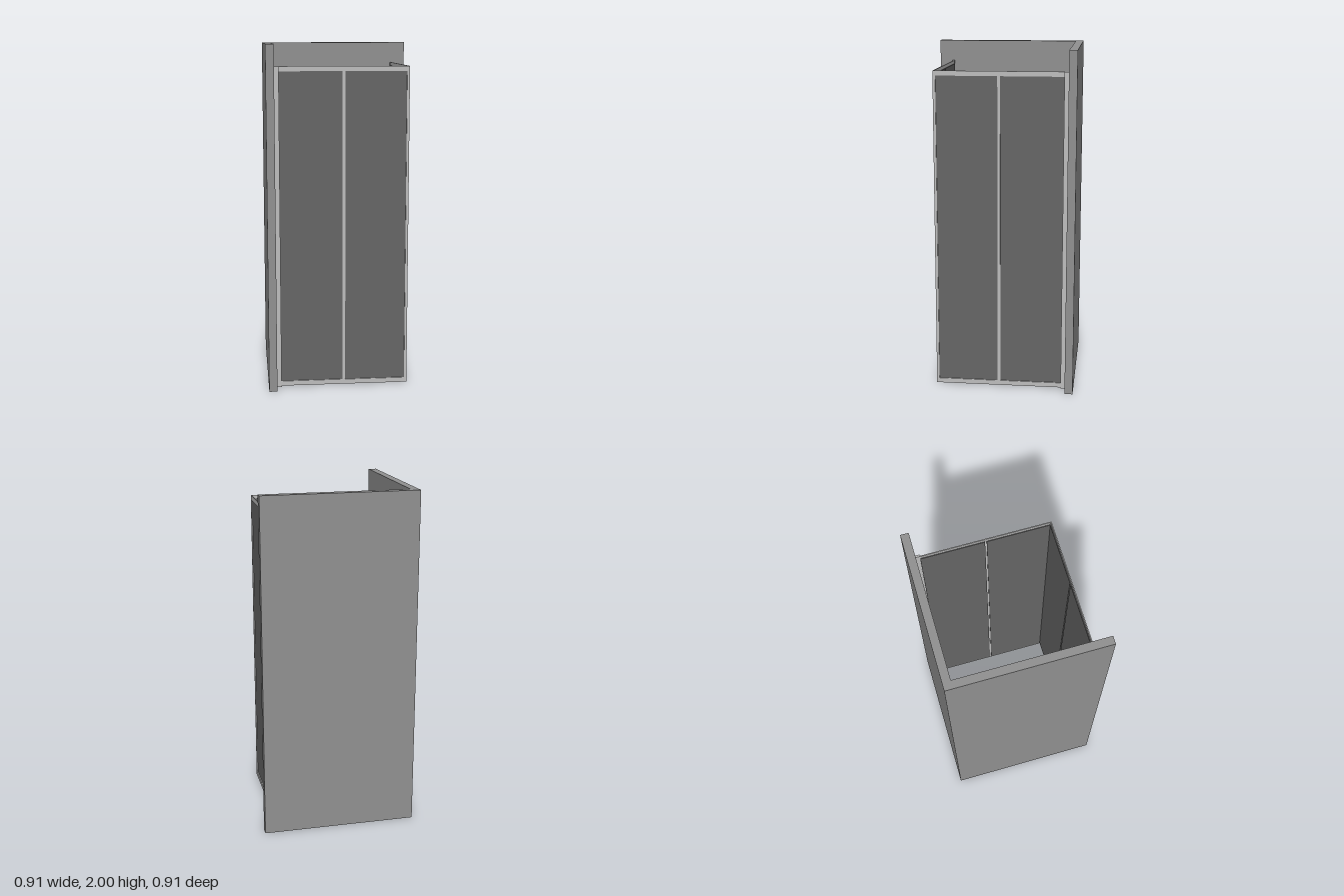
import * as THREE from 'three';

export function createModel() {
  const model = new THREE.Group();
  model.name = 'showerEnclosure';

  const mat = (name, color) => {
    const m = new THREE.MeshStandardMaterial({ color });
    m.name = name;
    return m;
  };
  const wall = mat('wall grey', 0x919191);
  const frame = mat('frame light grey', 0xbebebe);
  const glass = mat('glass dark grey', 0x666666);

  // Box given by its min and max along each axis
  const box = (parent, name, material, [x0, x1], [y0, y1], [z0, z1]) => {
    const mesh = new THREE.Mesh(new THREE.BoxGeometry(x1 - x0, y1 - y0, z1 - z0), material);
    mesh.position.set((x0 + x1) / 2, (y0 + y1) / 2, (z0 + z1) / 2);
    mesh.name = name;
    parent.add(mesh);
  };

  // Two solid walls meeting at the back corner
  const out = 0.453, inner = -0.406;
  box(model, 'backWall', wall, [-out, out], [0, 2], [-out, inner]);
  box(model, 'sideWall', wall, [-out, inner], [0, 2], [inner, out]);

  // One glazed screen: u runs from wall to free corner, w is its depth.
  // The side screen is the front one with x and z exchanged.
  const addScreen = (name, swapped) => {
    const screen = new THREE.Group();
    screen.name = name;
    const add = (part, material, u, y, w) =>
      box(screen, part, material, swapped ? w : u, y, swapped ? u : w);
    const depth = [0.361, 0.367];
    const end = swapped ? 0.361 : 0.367;
    const top = 1.875, bar = 0.028;

    add('wallProfile', frame, [inner, -0.378], [0, top], [0.363, 0.375]);
    add('bottomRail', frame, [-0.378, end], [0.004, 0.004 + bar], depth);
    add('topRail', frame, [-0.378, end], [top - bar, top], depth);
    add('cornerStile', frame, [0.352, end], [0.004 + bar, top - bar], depth);
    add('middleStile', frame, [-0.017, -0.001], [0.004 + bar, top - bar], depth);

    // Two panes mounted on the inner face of the frame
    for (const [part, u] of [['wallPane', [-0.378, -0.014]], ['cornerPane', [-0.004, 0.357]]]) {
      add(part, glass, u, [0.025, 1.855], [0.357, 0.361]);
    }
    model.add(screen);
  };
  addScreen('frontScreen', false);
  addScreen('sideScreen', true);

  return model;
}
